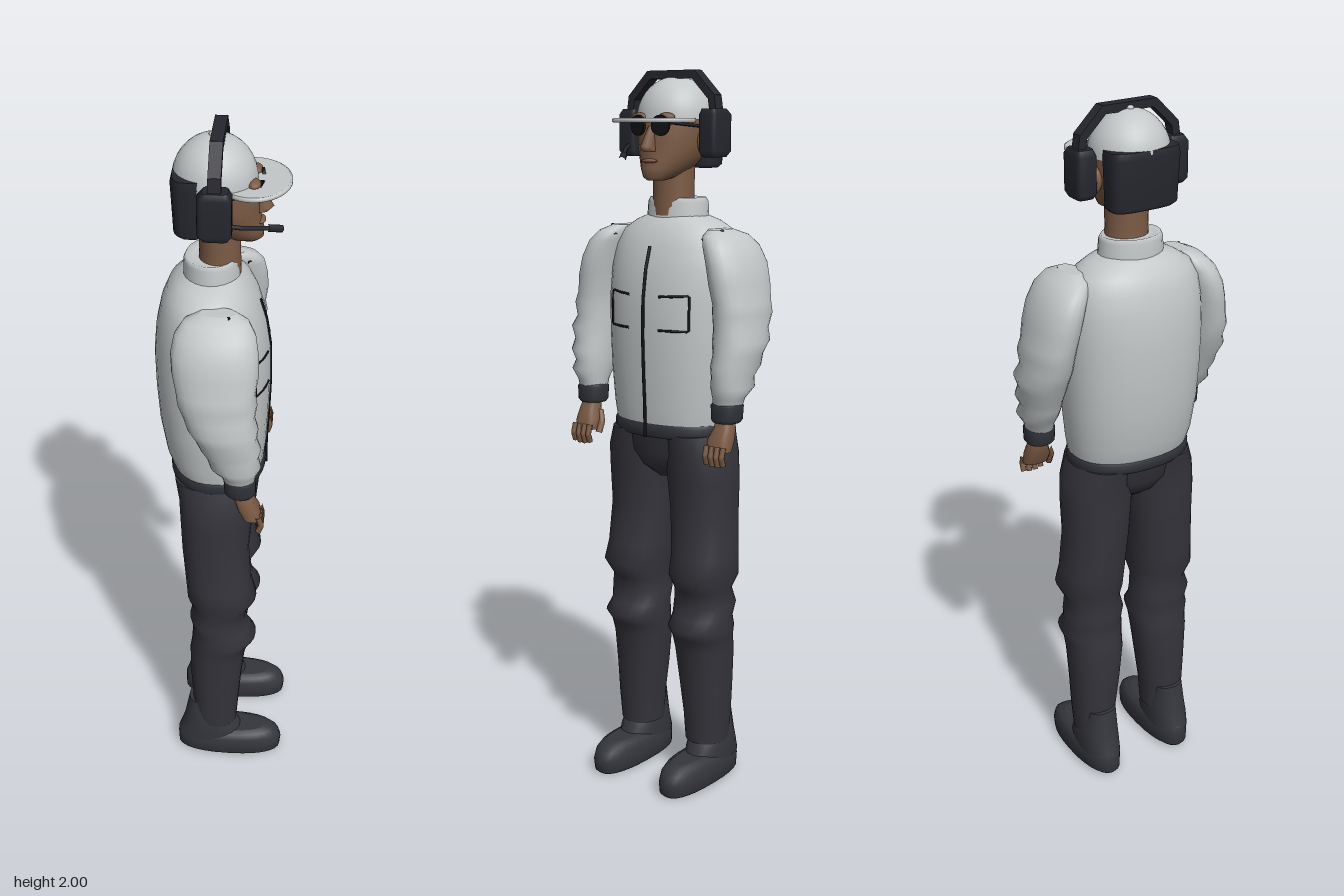
import * as THREE from 'three';

const mat = (name, color) => Object.assign(new THREE.MeshStandardMaterial({ color }), { name });

export function createModel() {
  const jacket = mat('jacket grey', 0xc3c7c8), dark = mat('trouser charcoal', 0x35343b);
  const shoeM = mat('shoe charcoal', 0x35363c), skin = mat('skin', 0x7c5b45);
  const gear = mat('headset black', 0x26272e), black = mat('trim black', 0x121216);
  const cuffM = mat('cuff grey', 0x2f3238);
  const model = new THREE.Group();
  model.name = 'crewMember';

  const add = (name, geo, material, parent = model) => {
    const m = new THREE.Mesh(geo, material);
    m.name = name;
    parent.add(m);
    return m;
  };

  // Horizontal super-ellipse sections: [y, xBack, xFront, zInner, zOuter]
  const loft = (rings, s = 1, p = 1, n = 24) => {
    const pos = [], idx = [];
    const sp = (v) => Math.sign(v) * Math.abs(v) ** p;
    for (const [y, x0, x1, z0, z1] of rings) {
      for (let j = 0; j < n; j++) {
        const a = (j / n) * Math.PI * 2;
        pos.push((x0 + x1) / 2 + sp(Math.cos(a)) * (x1 - x0) / 2, y,
          s * (z0 + z1) / 2 + sp(Math.sin(a)) * (z1 - z0) / 2);
      }
    }
    for (let i = 0; i < rings.length - 1; i++) for (let j = 0; j < n; j++) {
      const a = i * n + j, b = i * n + (j + 1) % n;
      idx.push(a, a + n, b, b, a + n, b + n);
    }
    // End caps with their own vertices
    [0, rings.length - 1].forEach((r, top) => {
      const base = pos.length / 3;
      for (let j = 0; j < n; j++) pos.push(...pos.slice((r * n + j) * 3, (r * n + j) * 3 + 3));
      const [y, x0, x1, z0, z1] = rings[r];
      pos.push((x0 + x1) / 2, y, s * (z0 + z1) / 2);
      for (let j = 0; j < n; j++) {
        const a = base + j, b = base + (j + 1) % n;
        idx.push(base + n, top ? b : a, top ? a : b);
      }
    });
    const g = new THREE.BufferGeometry();
    g.setAttribute('position', new THREE.Float32BufferAttribute(pos, 3));
    g.setIndex(idx);
    g.computeVertexNormals();
    return g;
  };
  const sym = (rings) => rings.map(([y, a, b, w]) => [y, a, b, -w, w]);
  const line = (pts, r, sides = 6) => {
    const path = new THREE.CurvePath();
    const v = pts.map((q) => new THREE.Vector3(...q));
    for (let i = 1; i < v.length; i++) path.add(new THREE.LineCurve3(v[i - 1], v[i]));
    return new THREE.TubeGeometry(path, (v.length - 1) * 6, r, sides);
  };
  const box = (x, y, z, w, h, d) => new THREE.BoxGeometry(w, h, d).translate(x, y, z);
  const ball = (x, y, z, a, b, c) => new THREE.SphereGeometry(1, 16, 12).scale(a, b, c).translate(x, y, z);

  // Jacket body, collar, hem and zip
  const body = [[1.05, -0.142, 0.108, 0.172], [1.1, -0.16, 0.114, 0.182], [1.2, -0.176, 0.119, 0.193],
    [1.3, -0.183, 0.122, 0.198], [1.4, -0.185, 0.12, 0.2], [1.48, -0.178, 0.108, 0.197],
    [1.54, -0.165, 0.09, 0.187], [1.58, -0.148, 0.07, 0.165], [1.605, -0.125, 0.05, 0.125], [1.62, -0.1, 0.035, 0.085]];
  add('jacketBody', loft(sym(body), 1, 0.9, 40), jacket);
  add('collar', loft(sym([[1.6, -0.108, 0.042, 0.092], [1.655, -0.106, 0.038, 0.088],
    [1.667, -0.1, 0.032, 0.082], [1.66, -0.08, 0.02, 0.065]])), jacket);
  add('hemBand', loft(sym([[1.02, -0.14, 0.108, 0.172], [1.03, -0.148, 0.114, 0.178],
    [1.05, -0.148, 0.114, 0.178], [1.06, -0.14, 0.108, 0.172]]), 1, 0.9, 40), cuffM);
  const frontX = (y, z) => {
    let i = 0;
    while (i < body.length - 2 && body[i + 1][0] < y) i++;
    const t = Math.max(0, (y - body[i][0]) / (body[i + 1][0] - body[i][0]));
    const [, b, f, w] = body[i].map((v, k) => THREE.MathUtils.lerp(v, body[i + 1][k], t));
    return (b + f) / 2 + (f - b) / 2 * (1 - Math.min(1, Math.abs(z) / w) ** (2 / 0.9)) ** 0.45;
  };
  const onChest = (pts) => pts.map(([y, z]) => [frontX(y, z), y, z]);
  add('zip', line([...onChest([[1.54, 0], [1.48, 0], [1.4, 0], [1.3, 0], [1.2, 0], [1.1, 0]]), [0.114, 1.02, 0]], 0.005), black);
  // Trousers seat
  add('trouserSeat', loft(sym([[0.895, -0.05, 0.04, 0.02], [0.93, -0.1, 0.08, 0.09],
    [0.97, -0.122, 0.096, 0.155], [1.035, -0.138, 0.105, 0.172]])), dark);

  for (const s of [1, -1]) {
    // Pocket outline and shoulder tab
    add('pocketOutline', line(onChest([[1.41, 0.05], [1.412, 0.09], [1.415, 0.132], [1.37, 0.132], [1.32, 0.132],
      [1.32, 0.09], [1.32, 0.05]].map(([y, z]) => [y, z * s])), 0.0035), black);
    add('shoulderTab', line([[0.055, 1.56, 0.15 * s], [0.04, 1.575, 0.17 * s], [0.018, 1.585, 0.192 * s]], 0.006), black);

    // Sleeve with soft folds
    add('sleeve', loft([[1.11, 0.022, 0.092, 0.2, 0.272], [1.15, 0.006, 0.1, 0.198, 0.28],
      [1.18, -0.02, 0.112, 0.192, 0.3], [1.205, -0.03, 0.105, 0.19, 0.29], [1.235, -0.045, 0.112, 0.187, 0.306],
      [1.265, -0.06, 0.1, 0.186, 0.302], [1.3, -0.078, 0.104, 0.182, 0.316], [1.33, -0.09, 0.094, 0.18, 0.3],
      [1.37, -0.104, 0.1, 0.178, 0.306], [1.4, -0.108, 0.095, 0.174, 0.297], [1.45, -0.118, 0.102, 0.165, 0.288],
      [1.5, -0.121, 0.1, 0.155, 0.276], [1.545, -0.112, 0.092, 0.142, 0.253], [1.573, -0.09, 0.074, 0.135, 0.225],
      [1.588, -0.05, 0.04, 0.14, 0.19]], s, 0.95), jacket);
    add('cuff', loft([[1.085, 0.024, 0.094, 0.2, 0.272], [1.093, 0.016, 0.1, 0.196, 0.278],
      [1.13, 0.014, 0.1, 0.194, 0.28], [1.138, 0.022, 0.094, 0.2, 0.274]], s, 0.9), cuffM);

    // Hand with curled fingers
    const hand = new THREE.Group();
    hand.name = 'hand';
    model.add(hand);
    add('palm', loft([[1.01, 0.066, 0.114, 0.2, 0.27], [1.04, 0.05, 0.11, 0.198, 0.27],
      [1.07, 0.042, 0.095, 0.21, 0.266], [1.1, 0.038, 0.084, 0.212, 0.258]], s, 0.75, 16), skin, hand);
    for (let i = 0; i < 4; i++) {
      const z = (0.208 + i * 0.018) * s;
      add('finger', line([[0.108, 1.025, z], [0.116, 0.998, z], [0.108, 0.97 + Math.abs(i - 1.5) * 0.004, z]], 0.0085), skin, hand);
    }
    add('thumb', line([[0.06, 1.06, 0.21 * s], [0.07, 1.03, 0.196 * s], [0.085, 1.0, 0.195 * s]], 0.01), skin, hand);

    // Trouser leg with knee folds
    add('trouserLeg', loft([[0.12, -0.085, 0.044, 0.06, 0.18], [0.2, -0.088, 0.05, 0.055, 0.186],
      [0.3, -0.094, 0.058, 0.042, 0.19], [0.4, -0.096, 0.068, 0.03, 0.195], [0.44, -0.09, 0.08, 0.028, 0.197],
      [0.47, -0.088, 0.1, 0.024, 0.206], [0.5, -0.086, 0.078, 0.028, 0.197], [0.54, -0.094, 0.068, 0.026, 0.203],
      [0.58, -0.084, 0.074, 0.034, 0.192], [0.625, -0.1, 0.1, 0.024, 0.214], [0.68, -0.104, 0.084, 0.022, 0.208],
      [0.8, -0.114, 0.076, 0.014, 0.2], [0.9, -0.118, 0.084, 0.006, 0.202], [0.97, -0.121, 0.094, 0.004, 0.197],
      [1.03, -0.132, 0.1, 0.01, 0.175]], s, 0.92), dark);

    // Shoe and ankle
    add('shoe', loft([[0, -0.13, 0.172, 0.072, 0.172], [0.008, -0.136, 0.181, 0.062, 0.182],
      [0.04, -0.137, 0.184, 0.06, 0.185], [0.065, -0.135, 0.175, 0.063, 0.182],
      [0.08, -0.128, 0.158, 0.07, 0.174], [0.087, -0.11, 0.13, 0.085, 0.16]], s, 0.85, 28), shoeM);
    add('ankle', loft([[0.06, -0.136, 0.07, 0.066, 0.18], [0.1, -0.122, 0.05, 0.064, 0.182],
      [0.13, -0.114, 0.035, 0.066, 0.178], [0.205, -0.1, -0.02, 0.075, 0.165]], s, 0.9), shoeM);

    // Headset cup, facing outward
    add('earCup', loft([[1.775, -0.045, 0.018, 0.112, 0.158], [1.79, -0.058, 0.027, 0.108, 0.166],
      [1.885, -0.058, 0.027, 0.108, 0.166], [1.9, -0.045, 0.018, 0.112, 0.158]], s, 0.4), gear);
    add('ear', ball(-0.02, 1.815, 0.098 * s, 0.025, 0.035, 0.016), skin);
    // Sunglasses
    add('lens', new THREE.CylinderGeometry(1, 1, 0.008, 20).rotateZ(Math.PI / 2)
      .scale(1, 0.027, 0.027).rotateY(-0.2 * s).translate(0.091, 1.857, 0.038 * s), black);
    add('glassesArm', line([[0.084, 1.864, 0.062 * s], [0, 1.855, 0.1 * s]], 0.004), black);
    add('brow', ball(0.074, 1.878, 0.045 * s, 0.017, 0.012, 0.025), skin);
  }

  // Head, neck and face
  add('neck', loft(sym([[1.62, -0.07, 0.042, 0.062], [1.68, -0.066, 0.04, 0.058], [1.77, -0.07, 0.04, 0.06]])), skin);
  add('head', loft(sym([[1.714, 0.04, 0.086, 0.025], [1.722, 0.0, 0.097, 0.04], [1.745, -0.07, 0.098, 0.062],
    [1.775, -0.1, 0.09, 0.082], [1.81, -0.108, 0.088, 0.093], [1.86, -0.112, 0.084, 0.096], [1.9, -0.11, 0.075, 0.095]])), skin);
  add('nose', loft(sym([[1.79, 0.07, 0.108, 0.018], [1.802, 0.07, 0.122, 0.018], [1.855, 0.07, 0.09, 0.009]]), 1, 1, 10), skin);
  add('mouth', ball(0.09, 1.765, 0, 0.012, 0.006, 0.026), skin);
  add('hair', loft(sym([[1.745, -0.115, -0.045, 0.088], [1.755, -0.127, -0.038, 0.098],
    [1.88, -0.133, -0.035, 0.103], [1.9, -0.128, -0.035, 0.1]]), 1, 0.6), gear);

  // Cap
  const dome = [];
  for (let i = 0; i <= 9; i++) {
    const a = (i / 9) * 1.5, r = 0.107 * Math.cos(a);
    dome.push([1.872 + 0.113 * Math.sin(a), -0.025 - r, -0.025 + r, r]);
  }
  add('capDome', loft(sym(dome), 1, 1, 32), jacket);
  add('capButton', ball(-0.03, 1.985, 0, 0.01, 0.007, 0.01), jacket);
  add('capBrim', loft(sym([[1.864, -0.02, 0.163, 0.118], [1.867, -0.02, 0.166, 0.121],
    [1.873, -0.02, 0.166, 0.121], [1.876, -0.02, 0.161, 0.117]]), 1, 1, 36)
    .translate(0, 0, 0), jacket);

  // Headset band: flat bars end to end over the cap
  const arc = [[0.142, 1.885], [0.135, 1.93], [0.075, 1.989], [-0.075, 1.989], [-0.135, 1.93], [-0.142, 1.885]];
  for (let i = 1; i < arc.length; i++) {
    const [z0, y0] = arc[i - 1], [z1, y1] = arc[i];
    const bar = add('headband', box(0, 0, 0, 0.032, 0.022, Math.hypot(z1 - z0, y1 - y0) + 0.008), gear);
    bar.position.set(-0.015, (y0 + y1) / 2, (z0 + z1) / 2);
    bar.rotation.x = -Math.atan2(y1 - y0, z1 - z0);
  }
  // Microphone boom
  add('micBoom', line([[0.0, 1.812, 0.138], [0.05, 1.795, 0.115], [0.115, 1.775, 0.07]], 0.006), gear);
  add('microphone', line([[0.108, 1.778, 0.075], [0.143, 1.766, 0.052]], 0.01, 8), gear);

  return model;
}
